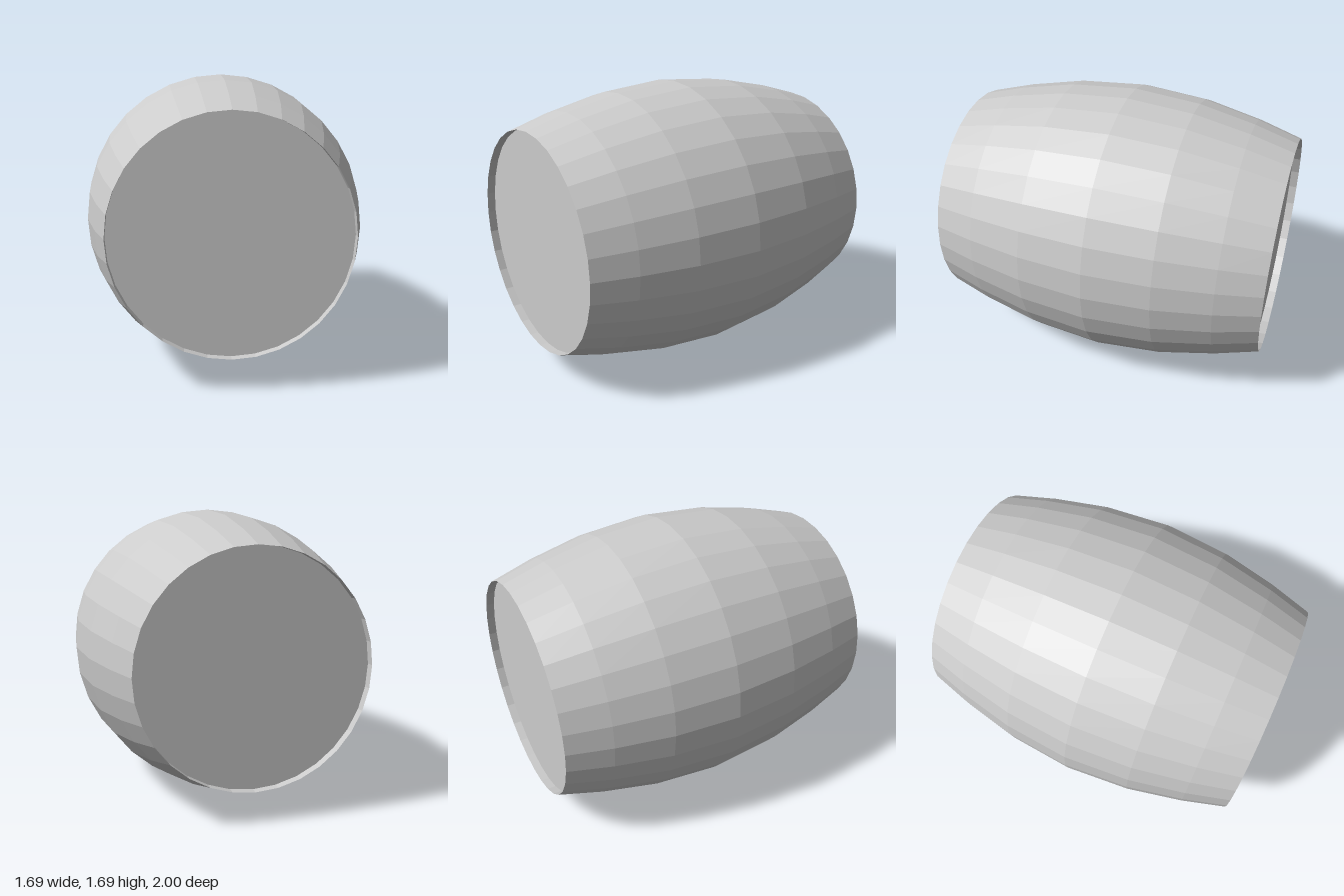
import * as THREE from 'three';

export function createModel() {
  const group = new THREE.Group();
  const material = new THREE.MeshStandardMaterial({ color: 0xcccccc, flatShading: true });
  const radius = 0.845, endRadius = 0.665, recess = 0.05, sides = 32;

  // Bulging staves: ring positions along the axis and their radii
  const half = [[0.4, 0.812], [0.74, 0.74], [1, endRadius]];
  const rings = [
    ...half.map(([z, r]) => [r, -z]).reverse(),
    [radius, 0],
    ...half.map(([z, r]) => [r, z]),
  ];

  // Lathe a profile around the z axis, lying on the ground
  const addLathe = (name, profile) => {
    const points = profile.map(([r, z]) => new THREE.Vector2(r, z));
    const geometry = new THREE.LatheGeometry(points, sides);
    geometry.rotateX(Math.PI / 2);
    const mesh = new THREE.Mesh(geometry, material);
    mesh.name = name;
    mesh.position.y = radius;
    group.add(mesh);
  };

  addLathe('barrelBody', rings);

  // Slightly recessed lids with the inner rim wall around them
  addLathe('backLid', [[0, recess - 1], [endRadius, recess - 1], [endRadius, -1]]);
  addLathe('frontLid', [[endRadius, 1], [endRadius, 1 - recess], [0, 1 - recess]]);

  group.name = 'barrel';
  return group;
}
